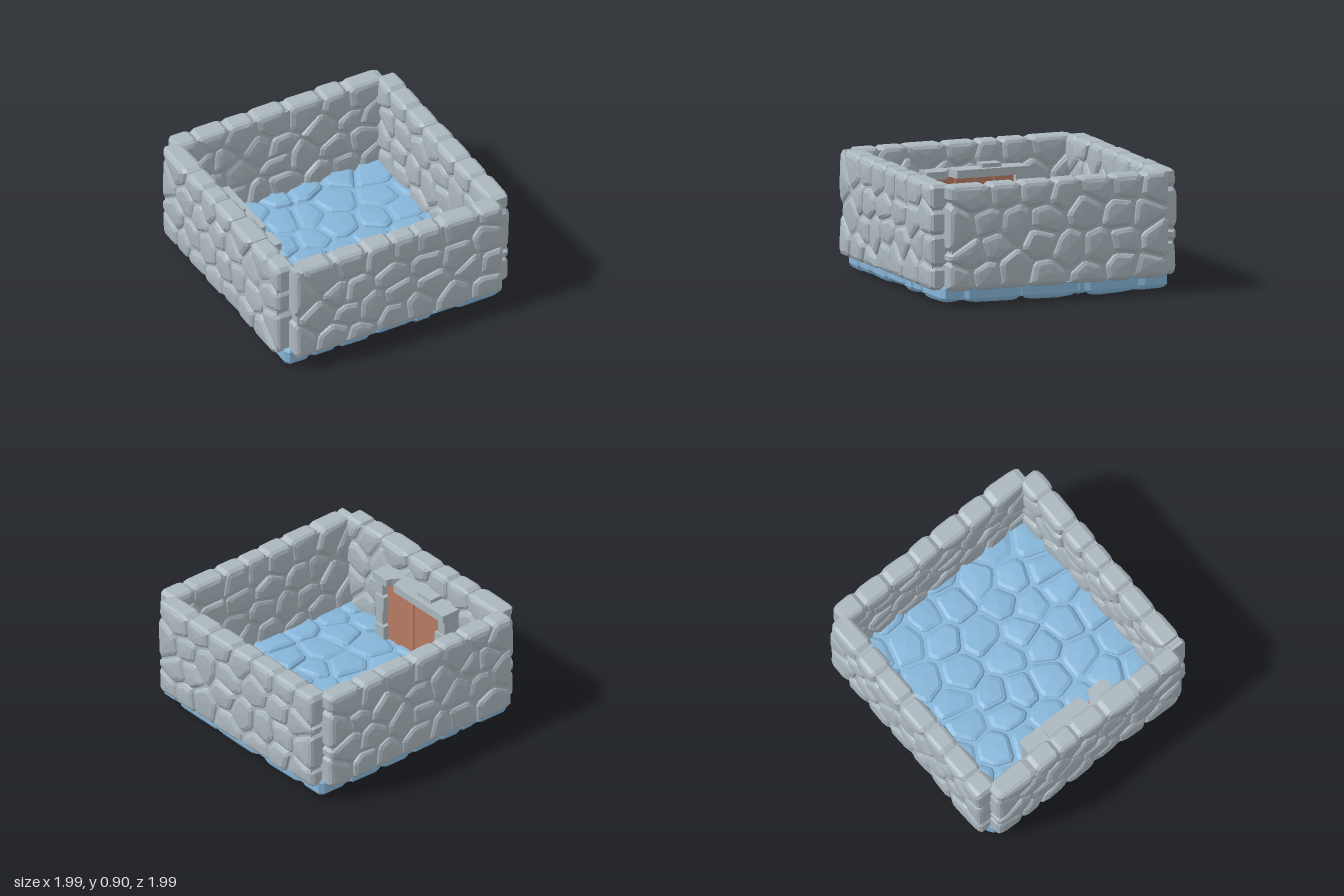
import * as THREE from 'three';

const stone = new THREE.MeshStandardMaterial({ color: 0xabb7be });
const floorStone = new THREE.MeshStandardMaterial({ color: 0x86b5d8 });
const wood = new THREE.MeshStandardMaterial({ color: 0xb87c62 });
stone.name = 'greyStone';
floorStone.name = 'blueStone';
wood.name = 'doorWood';

// Small seeded random generator
function seeded(seed) {
  let s = seed * 7919 + 17;
  return () => (s = (s * 16807) % 2147483647) / 2147483647;
}

// Keep the part of a polygon that lies nearer to site a than to site b
function clip(poly, a, b) {
  const n = b.clone().sub(a);
  const mid = a.clone().add(b).multiplyScalar(0.5);
  const side = p => (p.x - mid.x) * n.x + (p.y - mid.y) * n.y;
  const out = [];
  poly.forEach((p, i) => {
    const q = poly[(i + 1) % poly.length];
    const dp = side(p), dq = side(q);
    if (dp <= 0) out.push(p);
    if (dp * dq < 0) out.push(p.clone().lerp(q, dp / (dp - dq)));
  });
  return out;
}

// Cut off the corners so a cell becomes a worn stone outline
function wear(poly) {
  return poly.flatMap((p, i) => {
    const q = poly[(i + 1) % poly.length];
    return [p.clone().lerp(q, 0.13), p.clone().lerp(q, 0.87)];
  });
}

// One stone: bevelled rings around the outline, capped on both faces
function addStone(tris, outline, half, rnd) {
  const c = new THREE.Vector2();
  outline.forEach(p => c.addScaledVector(p, 1 / outline.length));
  let r = Infinity;
  outline.forEach((p, i) => {
    const e = outline[(i + 1) % outline.length].clone().sub(p);
    if (e.length() > 0.03) r = Math.min(r, Math.abs(e.cross(c.clone().sub(p))) / e.length());
  });
  r = Math.max(r, 0.05);
  const face = sign => {
    const h = half - rnd() * 0.014;
    const tx = (rnd() - 0.5) * 0.12, ty = (rnd() - 0.5) * 0.12;
    const point = (k, z, tilt) => p => {
      const x = (p.x - c.x) * k, y = (p.y - c.y) * k;
      const d = Math.min(half, z + (x * tx + y * ty) * tilt);
      return new THREE.Vector3(c.x + x, c.y + y, sign * d);
    };
    const ring = (inset, drop, tilt) =>
      outline.map(point(Math.max(0.35, 1 - inset / r), h - drop, tilt));
    return {
      rings: [ring(0.002, 0.04, 0), ring(0.013, 0.017, 0.5), ring(0.034, 0.004, 1)],
      tip: point(0, h + 0.002, 0)(c),
    };
  };
  const front = face(1), back = face(-1);
  const rings = [...back.rings.reverse(), ...front.rings];
  const n = outline.length;
  for (let i = 0; i < n; i++) {
    const j = (i + 1) % n;
    for (let k = 0; k < rings.length - 1; k++) {
      const a = rings[k], b = rings[k + 1];
      tris.push(a[i], a[j], b[j], a[i], b[j], b[i]);
    }
    const top = rings[rings.length - 1];
    tris.push(top[i], top[j], front.tip, rings[0][j], rings[0][i], back.tip);
  }
}

// Slab of irregular fitted stones, lying in its own xy plane
function stoneSlab(name, w, h, thick, cols, rows, seed, material) {
  const rnd = seeded(seed);
  for (let i = 0; i < 5; i++) rnd();
  const sites = [];
  for (let j = 0; j < rows; j++) {
    for (let i = 0; i < cols; i++) {
      const shift = j % 2 ? 0.2 : -0.2;
      sites.push(new THREE.Vector2(
        ((i + 0.5 + shift + (rnd() - 0.5) * 0.6) / cols - 0.5) * w,
        ((j + 0.5 + (rnd() - 0.5) * 0.6) / rows - 0.5) * h));
    }
  }
  const tris = [];
  for (const a of sites) {
    let cell = [[-1, -1], [1, -1], [1, 1], [-1, 1]].map(
      ([x, y]) => new THREE.Vector2(x * w / 2, y * h / 2));
    for (const b of sites) if (b !== a) cell = clip(cell, a, b);
    cell = cell.filter((p, i) => p.distanceTo(cell[(i + 1) % cell.length]) > 0.012);
    if (cell.length > 2) addStone(tris, wear(cell), thick / 2, rnd);
  }
  const geo = new THREE.BufferGeometry().setFromPoints(tris);
  geo.computeVertexNormals();
  const group = new THREE.Group();
  group.name = name;
  const stones = new THREE.Mesh(geo, material);
  stones.name = name + 'Stones';
  // Mortar core behind the joints
  const core = new THREE.Mesh(
    new THREE.BoxGeometry(w - 0.05, h - 0.05, thick - 0.07), material);
  core.name = name + 'Core';
  group.add(stones, core);
  return group;
}

function box(name, x0, x1, y0, y1, z0, z1, material) {
  const mesh = new THREE.Mesh(new THREE.BoxGeometry(x1 - x0, y1 - y0, z1 - z0), material);
  mesh.position.set((x0 + x1) / 2, (y0 + y1) / 2, (z0 + z1) / 2);
  mesh.name = name;
  return mesh;
}

// Plank door in a stone frame with a cracked lintel
function createDoor() {
  const door = new THREE.Group();
  door.name = 'door';
  for (let i = 0; i < 4; i++) {
    const z = -0.34 + i * 0.155;
    door.add(box('doorPlank', -0.82, -0.715 - (i % 2) * 0.008, 0.16, 0.67, z, z + 0.15, wood));
  }
  door.add(box('doorBacking', -0.82, -0.735, 0.16, 0.67, -0.34, 0.28, wood));
  for (const [z, dir] of [[-0.42, 1], [0.36, -1]]) {
    for (let i = 0; i < 4; i++) {
      const inner = z + dir * (i % 2 ? 0.075 : 0.1);
      const y = 0.16 + i * 0.128;
      door.add(box('jambStone', -0.82, -0.675 - (i % 2) * 0.01, y, y + 0.12,
        Math.min(z, inner), Math.max(z, inner), stone));
    }
    door.add(box('jambCore', -0.82, -0.7, 0.16, 0.67,
      Math.min(z, z + dir * 0.07), Math.max(z, z + dir * 0.07), stone));
  }
  const outline = [[-0.82, -0.43], [-0.66, -0.43], [-0.66, 0.13], [-0.76, 0.16],
    [-0.70, 0.2], [-0.66, 0.21], [-0.66, 0.37], [-0.82, 0.37]];
  const shape = new THREE.Shape(outline.map(([x, z]) => new THREE.Vector2(x, z)));
  const lintel = new THREE.Mesh(
    new THREE.ExtrudeGeometry(shape, { depth: 0.06, bevelEnabled: false }), stone);
  lintel.rotation.x = Math.PI / 2;
  lintel.position.y = 0.725;
  lintel.name = 'lintel';
  door.add(lintel, box('keystone', -0.82, -0.705, 0.7, 0.755, -0.24, -0.09, stone));
  return door;
}

export function createModel() {
  const model = new THREE.Group();
  model.name = 'stoneRoom';

  const floor = stoneSlab('floor', 1.82, 1.8, 0.18, 7, 7, 3, floorStone);
  floor.rotation.x = -Math.PI / 2;
  floor.position.y = 0.1;
  model.add(floor);

  // Four walls, each turned a further quarter
  ['frontWall', 'leftWall', 'backWall', 'rightWall'].forEach((name, i) => {
    const wall = stoneSlab(name, 1.75, 0.79, 0.2, 7, 4, 11 + i * 6, stone);
    const angle = i * Math.PI / 2;
    wall.rotation.y = angle;
    wall.position.set(Math.sin(angle) * 0.895, 0.515, Math.cos(angle) * 0.895);
    model.add(wall);
  });

  model.add(createDoor());
  return model;
}
